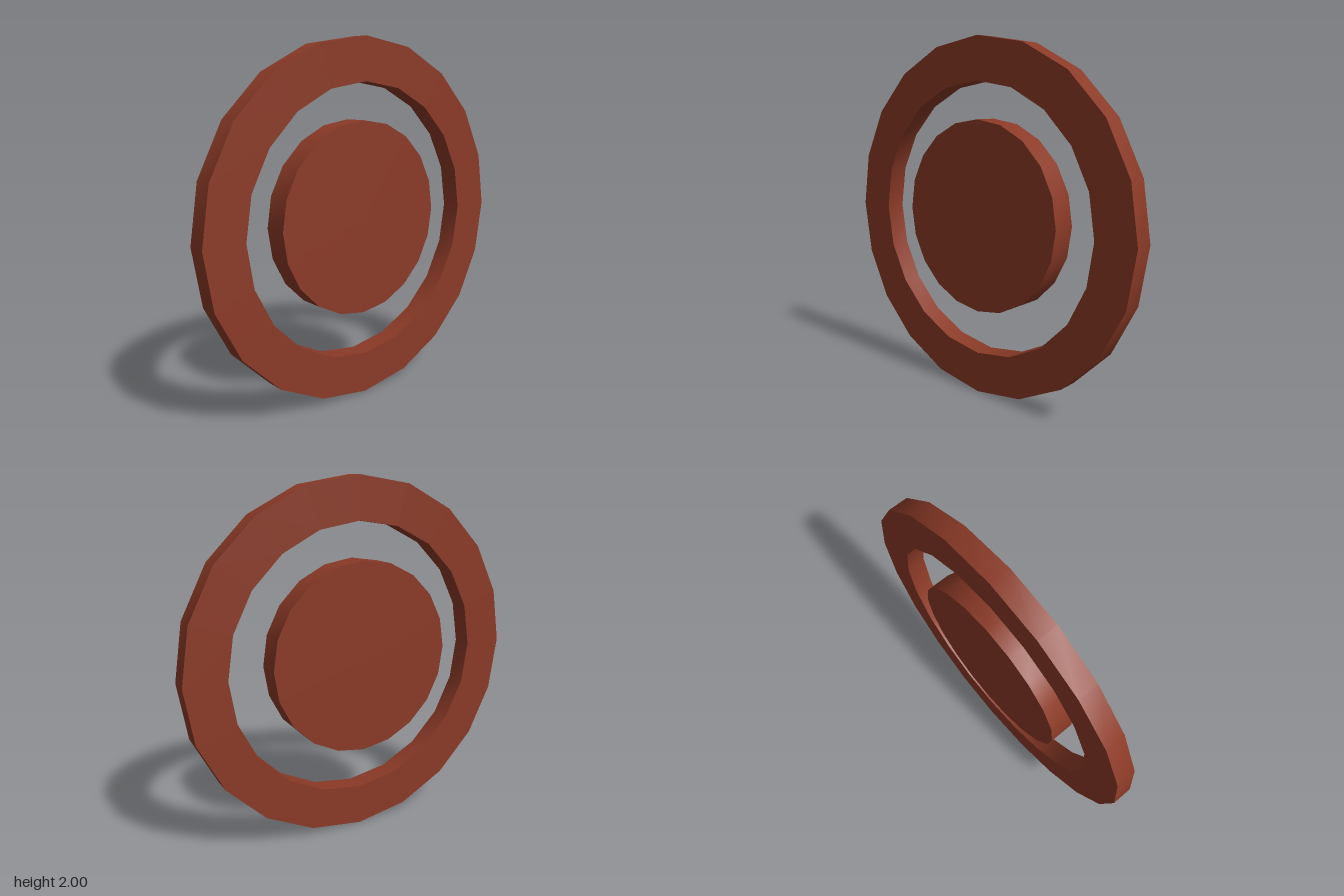
import * as THREE from 'three';
import { toCreasedNormals } from 'three/addons/utils/BufferGeometryUtils.js';

const SIDES = 20;

export function createModel() {
  const model = new THREE.Group();
  const rust = new THREE.MeshStandardMaterial({ color: 0x8b3a27 });
  rust.name = 'rust brown';

  // Spin a closed (radius, z) profile around the z axis, softly shaded around the rim
  function turned(name, profile, x, y) {
    const points = profile.map(([r, z]) => new THREE.Vector2(r, z));
    const lathe = new THREE.LatheGeometry(points, SIDES).rotateX(Math.PI / 2);
    const mesh = new THREE.Mesh(toCreasedNormals(lathe, Math.PI / 6), rust);
    mesh.name = name;
    mesh.position.set(x, y, 0);
    model.add(mesh);
  }

  // Outer ring with a square cross-section
  turned('outerRing', [[1, -0.04], [1, 0.073], [0.765, 0.073], [0.765, -0.04], [1, -0.04]], 0, 1);

  // Free-standing centre disc, slightly off centre and set further back
  turned('centreDisc', [[0, -0.073], [0.54, -0.073], [0.54, 0.066], [0, 0.066]], -0.008, 1.02);

  return model;
}
